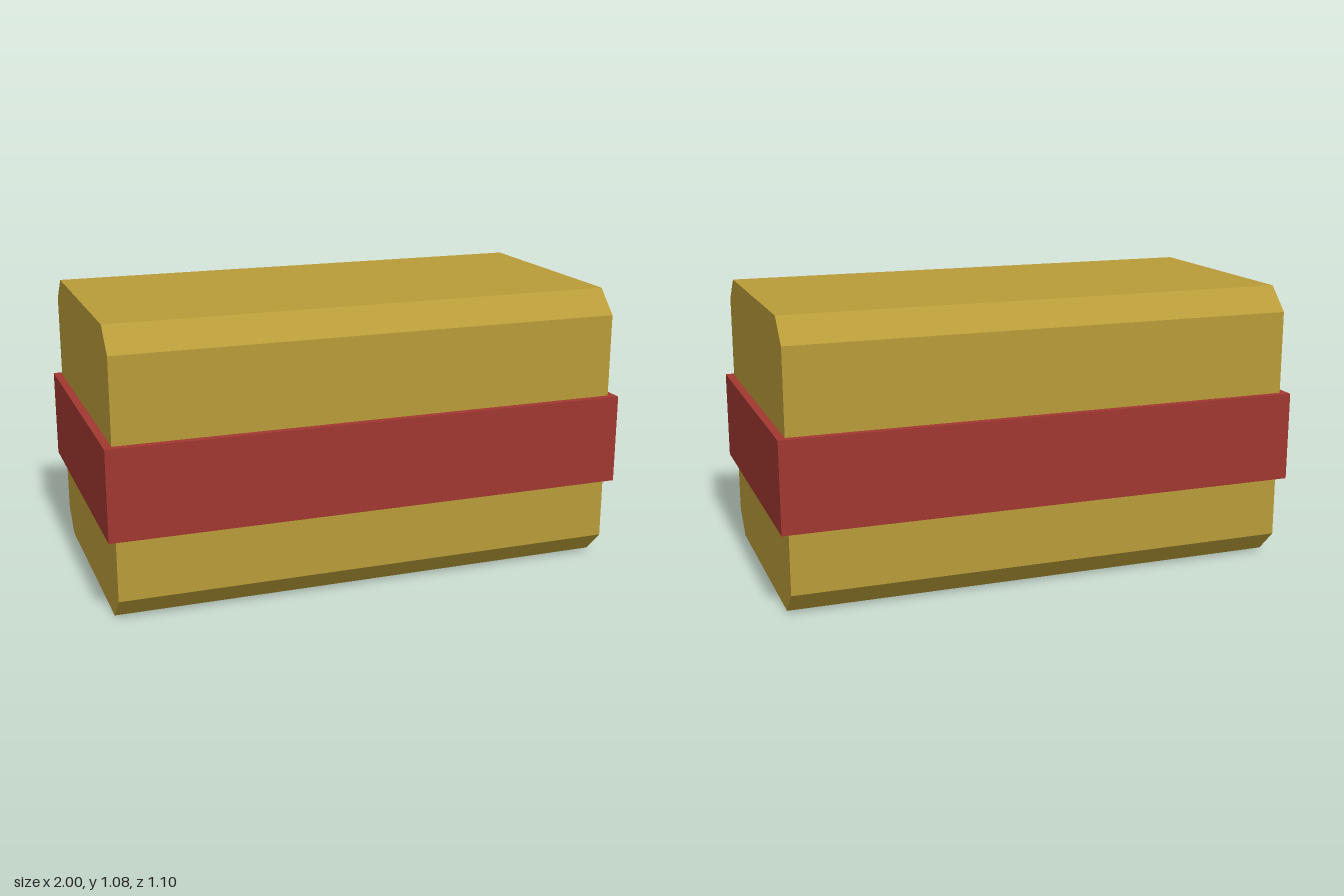
import * as THREE from 'three';

export function createModel() {
  const group = new THREE.Group();
  group.name = 'bandedBar';
  const gold = new THREE.MeshStandardMaterial({ name: 'gold', color: 0xb89b38 });
  const red = new THREE.MeshStandardMaterial({ name: 'red', color: 0xa03730 });

  // Body: octagonal cross-section with bevelled long edges, extruded along x
  const length = 1.94, height = 1.075, half = 0.523, cut = 0.09;
  const section = new THREE.Shape([
    [-half + cut, 0], [half - cut, 0], [half, cut], [half, height - cut],
    [half - cut, height], [-half + cut, height], [-half, height - cut], [-half, cut],
  ].map(([z, y]) => new THREE.Vector2(z, y)));
  const bodyGeometry = new THREE.ExtrudeGeometry(section, { depth: length, bevelEnabled: false });
  bodyGeometry.translate(0, 0, -length / 2).rotateY(Math.PI / 2);
  const body = new THREE.Mesh(bodyGeometry, gold);
  body.name = 'body';

  // Band wrapped around the middle
  const band = new THREE.Mesh(new THREE.BoxGeometry(2, 0.342, 1.102), red);
  band.name = 'band';
  band.position.y = 0.496;

  group.add(body, band);
  return group;
}
